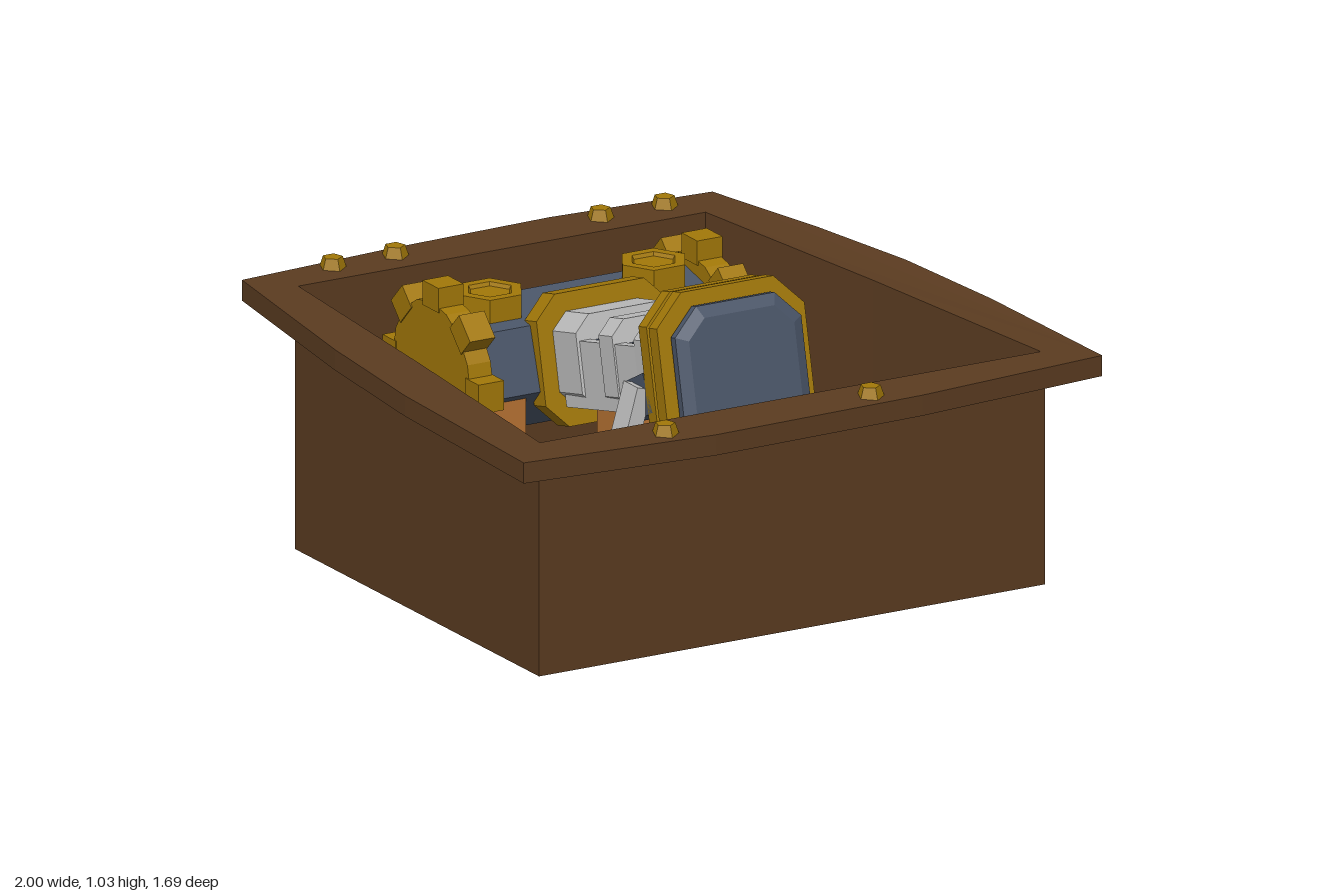
import * as THREE from 'three';

const mat = (name, color) => {
  const m = new THREE.MeshStandardMaterial({ color, flatShading: true });
  m.name = name;
  return m;
};

export function createModel() {
  const brown = mat('brown', 0x5a3b20);
  const gold = mat('gold', 0xa27808);
  const blue = mat('slate blue', 0x4a5568);
  const white = mat('light grey', 0xc0c0c0);
  const orange = mat('copper', 0xb87333);

  const model = new THREE.Group();
  model.name = 'machineInCrate';
  const add = (parent, name, geo, material, x = 0, y = 0, z = 0) => {
    const mesh = new THREE.Mesh(geo, material);
    mesh.name = name;
    mesh.position.set(x, y, z);
    parent.add(mesh);
    return mesh;
  };
  const box = (w, h, d) => new THREE.BoxGeometry(w, h, d);

  // Plan outlines as [x, z]; the rim rises gently to the back
  const rimTop = z => 0.76 - 0.068 * z - 0.008 * z * z;
  const outer = [[-0.96, -0.8], [-0.46, -0.83], [0.1, -0.845], [0.63, -0.815], [0.76, -0.44], [0.86, -0.1],
    [0.93, 0.27], [1, 0.785], [0.37, 0.83], [-0.33, 0.842], [-0.95, 0.795], [-1, 0.2], [-1, -0.2]];
  const boxPlan = [[-0.845, -0.692], [0.535, -0.687], [0.7, 0], [0.862, 0.692], [-0.835, 0.687], [-0.84, 0]];
  const inner = [[-0.838, -0.685], [0.528, -0.68], [0.692, 0], [0.853, 0.685], [-0.828, 0.68], [-0.833, 0]];
  const toPoints = plan => plan.map(([x, z]) => new THREE.Vector2(x, -z));

  // Upright prism of a plan, its heights then set by a rule (u = 0 bottom, 1 top)
  const prism = (plan, hole, height) => {
    const shape = new THREE.Shape(toPoints(plan));
    if (hole) shape.holes.push(new THREE.Path(toPoints(hole).reverse()));
    const geo = new THREE.ExtrudeGeometry(shape, { depth: 1, bevelEnabled: false });
    geo.rotateX(-Math.PI / 2);
    const p = geo.attributes.position;
    for (let i = 0; i < p.count; i++) p.setY(i, height(p.getY(i), p.getZ(i)));
    geo.computeVertexNormals();
    return geo;
  };

  // Crate
  add(model, 'crateWalls', prism(boxPlan, inner, (u, z) => u * (rimTop(z) - 0.002)), brown);
  add(model, 'crateFloor', prism(inner, null, u => u * 0.02), brown);
  add(model, 'crateRim', prism(outer, inner, (u, z) => rimTop(z) - 0.063 * (1 - u)), brown);

  // Studs on the rim
  for (const [x, z] of [[-0.67, -0.775], [-0.46, -0.775], [0.23, -0.775], [0.445, -0.775], [-0.46, 0.77], [0.23, 0.77]])
    add(model, 'rimStud', new THREE.CylinderGeometry(0.03, 0.042, 0.035, 5), gold, x, rimTop(z) + 0.014, z);

  // Machine, centred on its own axle
  const machine = new THREE.Group();
  machine.name = 'machine';
  machine.position.x = -0.11;
  model.add(machine);
  const axleY = 0.585, axleZ = -0.355;

  // Six-sided drum, turned with the arm
  const drum = new THREE.CylinderGeometry(0.195, 0.195, 0.8, 6);
  drum.rotateZ(Math.PI / 2).rotateX(0.22);
  add(machine, 'drum', drum, blue, 0, axleY, axleZ);

  // Six-sided nut with a shallow recess
  const nut = (r, h) => new THREE.LatheGeometry(
    [[0, 0], [r, 0], [r, h], [r * 0.68, h], [r * 0.62, h * 0.85], [0, h * 0.85]]
      .map(([a, b]) => new THREE.Vector2(a, b)), 6).rotateY(Math.PI / 2);
  const hexFrustum = (top, bottom, h) => new THREE.CylinderGeometry(top, bottom, h, 6).rotateY(Math.PI / 6);

  for (const s of [-1, 1]) {
    // Toothed end wheel on its post
    const gear = new THREE.Group();
    gear.name = 'gear';
    gear.position.set(s * 0.435, axleY, axleZ);
    machine.add(gear);
    add(gear, 'gearDisc', new THREE.CylinderGeometry(0.222, 0.222, 0.078, 16).rotateZ(Math.PI / 2), gold);
    for (let i = 0; i < 8; i++) {
      const tooth = box(0.085, 0.075, 0.09).translate(0, 0.2375, 0).rotateX(i * Math.PI / 4);
      add(gear, 'gearTooth', tooth, gold);
    }
    add(machine, 'gearPost', box(0.17, 0.56, 0.35), orange, s * 0.345, 0.3, axleZ);
    add(machine, 'drumNut', nut(0.105, 0.075), gold, s * 0.275, 0.735, -0.36);

    // Front stand with socket and strut
    add(machine, 'frontStand', hexFrustum(0.15, 0.175, 0.4), orange, s * 0.3, 0.22, 0.505);
    const socket = add(machine, 'strutSocket', hexFrustum(0.1, 0.135, 0.17), gold, s * 0.28, 0.47, 0.475);
    socket.rotation.x = -0.3;
    const strut = add(machine, 'strut', box(0.05, 0.24, 0.08), white, s * 0.275, 0.62, 0.43);
    strut.rotation.z = s * 0.28;
  }
  add(machine, 'armPost', box(0.17, 0.5, 0.14), orange, 0, 0.27, 0);

  // Arm rising forward; local z runs along it
  const arm = new THREE.Group();
  arm.name = 'arm';
  arm.position.set(0, axleY, axleZ);
  arm.rotation.x = -0.22;
  machine.add(arm);

  // Chamfered plate of half width w and half height h between z0 and z1
  const plate = (name, material, w, h, c, z0, z1, bevel = 0) => {
    const shape = new THREE.Shape([[-w + c, -h], [w - c, -h], [w, -h + c], [w, h - c], [w - c, h], [-w + c, h],
      [-w, h - c], [-w, -h + c]].map(([x, y]) => new THREE.Vector2(x, y)));
    const thick = bevel / 2;
    const geo = new THREE.ExtrudeGeometry(shape, {
      depth: z1 - z0 - 2 * thick, bevelEnabled: bevel > 0, bevelThickness: thick,
      bevelSize: bevel, bevelOffset: -bevel, bevelSegments: 1,
    });
    return add(arm, name, geo, material, 0, 0, z0 + thick);
  };
  plate('collar', gold, 0.22, 0.195, 0.07, 0.13, 0.2);
  plate('armCore', blue, 0.125, 0.063, 0.02, 0.1, 0.84);
  plate('armRing', white, 0.17, 0.14, 0.05, 0.2, 0.335);
  plate('armRing', white, 0.16, 0.135, 0.045, 0.45, 0.53);
  plate('armRing', white, 0.152, 0.125, 0.04, 0.64, 0.79);
  for (const s of [-1, 1]) {
    const side = add(arm, 'armSide', box(0.035, 0.2, 0.56), white, s * 0.138, -0.034, 0.5);
    side.rotation.y = -s * 0.03;
  }

  // Head at the end of the arm
  plate('headBack', blue, 0.2, 0.2, 0.08, 0.78, 0.85);
  plate('headRing', gold, 0.24, 0.24, 0.09, 0.838, 0.885);
  plate('headCore', blue, 0.22, 0.22, 0.085, 0.88, 0.92);
  plate('headRing', gold, 0.248, 0.243, 0.093, 0.912, 0.96);
  plate('headFace', blue, 0.212, 0.2, 0.08, 0.955, 1.015, 0.035);
  const yoke = add(machine, 'headYoke', box(0.48, 0.12, 0.13), blue, 0, 0.695, 0.425);
  yoke.rotation.x = -0.5;

  return model;
}
